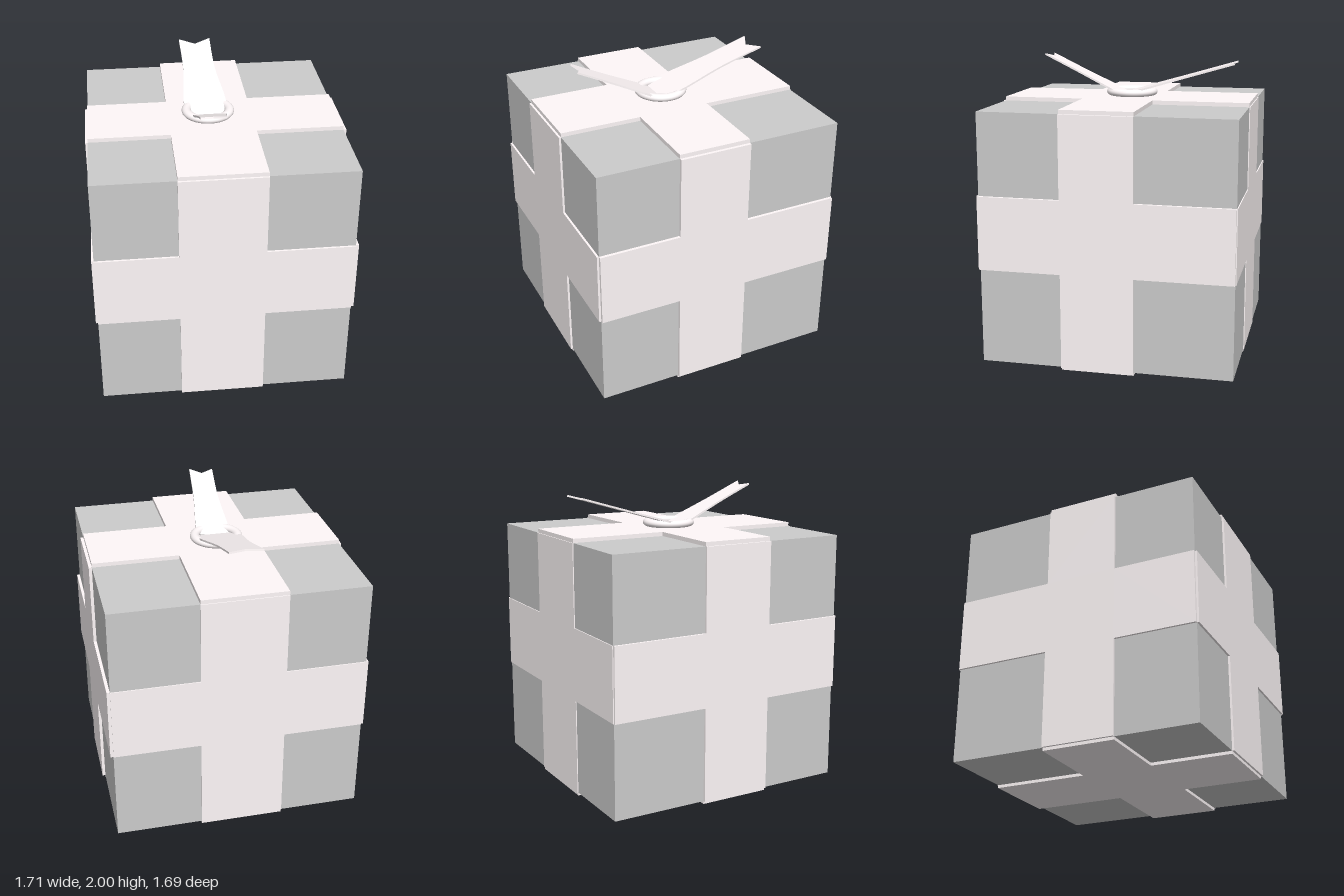
import * as THREE from 'three';

const boxMaterial = new THREE.MeshStandardMaterial({ color: 0xcccccc });
const ribbonMaterial = new THREE.MeshStandardMaterial({ color: 0xfff8f9 });

// Extents of the box and of the ribbon band along each axis
const box = { x: [-0.841, 0.83], y: [0.02, 1.693], z: [-0.841, 0.831] };
const band = { x: [-0.305, 0.255], y: [0.655, 1.145], z: [-0.195, 0.287] };
const axis = {
  x: new THREE.Vector3(1, 0, 0),
  y: new THREE.Vector3(0, 1, 0),
  z: new THREE.Vector3(0, 0, 1),
};

function named(name, geometry, material) {
  const mesh = new THREE.Mesh(geometry, material);
  mesh.name = name;
  return mesh;
}

// Flat ribbon cross lying on the face with normal n, between from and to
function ribbonCross(name, u, v, n, from, to) {
  const [u0, u1] = box[u], [v0, v1] = box[v];
  const [a0, a1] = band[u], [b0, b1] = band[v];
  const outline = [
    [a0, v0], [a1, v0], [a1, b0], [u1, b0], [u1, b1], [a1, b1],
    [a1, v1], [a0, v1], [a0, b1], [u0, b1], [u0, b0], [a0, b0],
  ];
  const shape = new THREE.Shape(outline.map(([p, q]) => new THREE.Vector2(p, q)));
  const geometry = new THREE.ExtrudeGeometry(shape, { depth: to - from, bevelEnabled: false });
  geometry.translate(0, 0, from);
  geometry.applyMatrix4(new THREE.Matrix4().makeBasis(axis[u], axis[v], axis[n]));
  return named(name, geometry, ribbonMaterial);
}

// Ribbon tail: curved sides and a notched end, leaning up from the knot
function ribbonTail(name, left, right, notch, slope, height, direction) {
  const lean = Math.atan(slope);
  const point = ([x, d]) => new THREE.Vector2(x, d / Math.cos(lean));
  const side = (points) => new THREE.SplineCurve(points.map(point)).getPoints(12);
  const outline = [...side(right), point(notch), ...side(left).reverse()];
  const geometry = new THREE.ExtrudeGeometry(new THREE.Shape(outline), {
    depth: 0.012, bevelEnabled: false,
  });
  geometry.translate(0, 0, -0.006);
  geometry.rotateX(direction * (Math.PI / 2 - lean));
  geometry.translate(0, height, 0);
  return named(name, geometry, ribbonMaterial);
}

export function createModel() {
  const group = new THREE.Group();
  group.name = 'giftBox';

  // Box
  const size = ['x', 'y', 'z'].map((k) => box[k][1] - box[k][0]);
  const middle = ['x', 'y', 'z'].map((k) => (box[k][1] + box[k][0]) / 2);
  group.add(named('box', new THREE.BoxGeometry(...size).translate(...middle), boxMaterial));

  // Ribbon on all six faces
  group.add(
    ribbonCross('ribbonFront', 'x', 'y', 'z', 0.831, 0.845),
    ribbonCross('ribbonBack', 'x', 'y', 'z', -0.847, -0.841),
    ribbonCross('ribbonLeft', 'y', 'z', 'x', 0.83, 0.85),
    ribbonCross('ribbonRight', 'y', 'z', 'x', -0.856, -0.841),
    ribbonCross('ribbonTop', 'z', 'x', 'y', 1.693, 1.72),
    ribbonCross('ribbonBottom', 'z', 'x', 'y', 0, 0.02),
  );

  // Knot ring on top
  const ring = named('knotRing', new THREE.TorusGeometry(0.144, 0.032, 16, 48), ribbonMaterial);
  ring.rotation.x = Math.PI / 2;
  ring.scale.z = 0.8;
  ring.position.set(-0.036, 1.745, 0.005);
  group.add(ring);

  // Tails
  group.add(
    ribbonTail('frontTail',
      [[-0.14, 0.035], [-0.145, 0.12], [-0.131, 0.36], [-0.143, 0.6]],
      [[0.06, 0.06], [0.078, 0.12], [0.042, 0.36], [0.02, 0.615]],
      [-0.06, 0.57], 0.47, 1.706, 1),
    ribbonTail('backTail',
      [[-0.16, -0.05], [-0.19, 0.08], [-0.165, 0.4], [-0.17, 0.715]],
      [[0.06, -0.05], [0.095, 0.08], [0.055, 0.4], [0.05, 0.715]],
      [-0.06, 0.66], 0.29, 1.745, -1),
  );
  return group;
}
